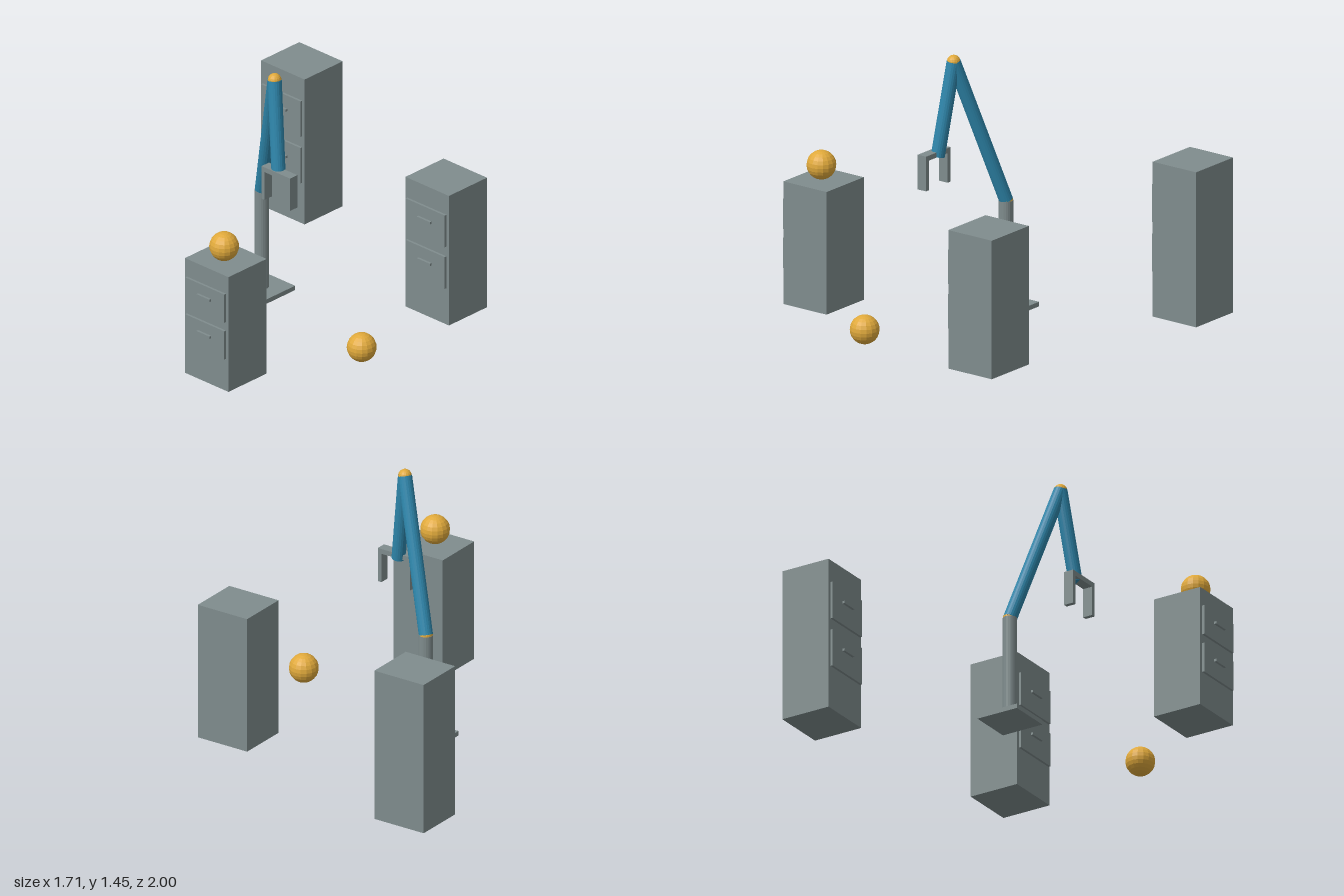
import * as THREE from 'three';

export function createModel() {
  const root = new THREE.Group();
  root.name = 'roboticArmWorkcell';

  const material = (name, color) => {
    const m = new THREE.MeshStandardMaterial({ color, flatShading: true });
    m.name = name;
    return m;
  };
  const grey = material('grey', 0x7f8c8d);
  const blue = material('blue', 0x2e86ab);
  const amber = material('amber', 0xe0a93b);

  const add = (parent, name, geometry, mat, x, y, z) => {
    const mesh = new THREE.Mesh(geometry, mat);
    mesh.name = name;
    mesh.position.set(x, y, z);
    parent.add(mesh);
    return mesh;
  };
  const box = (parent, name, w, h, d, x, y, z) =>
    add(parent, name, new THREE.BoxGeometry(w, h, d), grey, x, y, z);
  const ball = (parent, name, r, x, y, z) =>
    add(parent, name, new THREE.SphereGeometry(r, 16, 12), amber, x, y, z);

  // Round bar between two points
  const bar = (parent, name, a, b, r, mat) => {
    const dir = b.clone().sub(a);
    const mid = a.clone().add(b).multiplyScalar(0.5);
    const mesh = add(parent, name, new THREE.CylinderGeometry(r, r, dir.length(), 20), mat, mid.x, mid.y, mid.z);
    mesh.quaternion.setFromUnitVectors(new THREE.Vector3(0, 1, 0), dir.normalize());
  };

  // Filing cabinets: body, two drawer fronts and their handles
  const W = 0.32, D = 0.293;
  const cabinet = (name, x, h, back) => {
    const g = new THREE.Group();
    g.name = name;
    g.position.set(x, 0, back + D);
    box(g, 'cabinetBody', W, h, D, 0, h / 2, -D / 2);
    for (const level of [0.405, 0.726]) {
      const drawerH = h * 0.246;
      box(g, 'drawerFront', W * 0.9, drawerH, 0.014, 0, h * level, 0.009);
      box(g, 'drawerHandle', 0.097, 0.014, 0.014, 0, h * level + drawerH * 0.1, 0.023);
    }
    root.add(g);
  };
  cabinet('tallCabinet', -0.695, 0.868, -1.0);
  cabinet('middleCabinet', 0.667, 0.776, -0.688);
  cabinet('shortCabinet', 0.351, 0.687, 0.677);

  // Loose balls: one on the short cabinet, one on the floor
  ball(root, 'cabinetBall', 0.08, 0.352, 0.767, 0.837);
  ball(root, 'floorBall', 0.08, 0.77, 0.08, 0.216);

  // Robot arm
  const arm = new THREE.Group();
  arm.name = 'robotArm';
  root.add(arm);
  const foot = new THREE.Vector3(-0.172, 0.02, 0);
  const shoulder = new THREE.Vector3(-0.172, 0.605, 0);
  const elbow = new THREE.Vector3(0.075, 1.41, 0.16);
  const wrist = new THREE.Vector3(0.15, 0.892, 0.208);
  box(arm, 'basePlate', 0.25, 0.026, 0.25, -0.172, 0.013, 0);
  bar(arm, 'column', foot, shoulder, 0.039, grey);
  ball(arm, 'shoulderJoint', 0.038, ...shoulder.toArray());
  bar(arm, 'upperArm', shoulder, elbow, 0.038, blue);
  ball(arm, 'elbowJoint', 0.037, ...elbow.toArray());
  bar(arm, 'forearm', elbow, wrist, 0.038, blue);

  // Gripper with two fingers
  const gripper = new THREE.Group();
  gripper.name = 'gripper';
  gripper.position.set(0.168, 0.908, 0.22);
  arm.add(gripper);
  box(gripper, 'gripperBar', 0.21, 0.028, 0.057, 0, 0, 0);
  for (const side of [-1, 1]) {
    box(gripper, 'gripperFinger', 0.024, 0.166, 0.057, side * 0.093, -0.097, 0);
  }

  return root;
}
